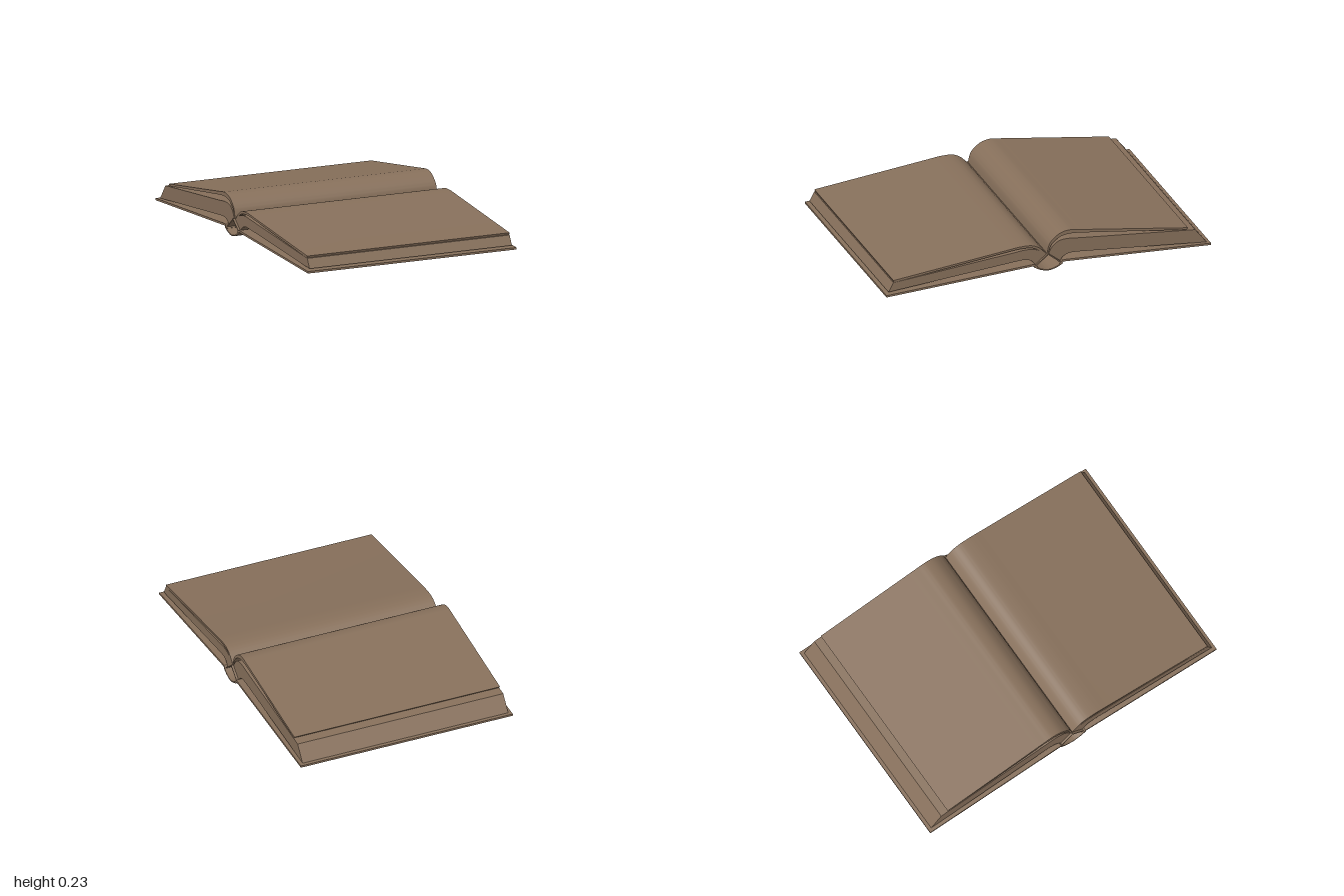
import * as THREE from 'three';
import { toCreasedNormals } from 'three/addons/utils/BufferGeometryUtils.js';

const brown = new THREE.MeshStandardMaterial({ color: 0x87705b, side: THREE.DoubleSide });
brown.name = 'brown';

// Outline in (z, y): a pair is a straight corner, a list of pairs is a smooth curve
function sweep(name, outline, width) {
  const shape = new THREE.Shape();
  const at = ([z, y]) => new THREE.Vector2(-z, y);
  outline.forEach((item, i) => {
    const curved = Array.isArray(item[0]);
    const start = at(curved ? item[0] : item);
    if (i === 0) shape.moveTo(start.x, start.y);
    else shape.lineTo(start.x, start.y);
    if (curved) shape.splineThru(item.slice(1).map(at));
  });
  const geo = new THREE.ExtrudeGeometry(shape, { depth: width, bevelEnabled: false, steps: 1, curveSegments: 6 });
  geo.translate(0, 0, -width / 2);
  geo.rotateY(Math.PI / 2);
  const mesh = new THREE.Mesh(toCreasedNormals(geo, 0.6), brown);
  mesh.name = name;
  return mesh;
}

export function createModel() {
  const book = new THREE.Group();
  book.name = 'openBook';

  // Cover boards and hinges, mirrored front to back
  for (const [s, side] of [[1, 'front'], [-1, 'back']]) {
    book.add(sweep(side + 'Cover', [
      [s, 0.003], [s, 0.015], [s * 0.1, 0.062], [s * 0.085, 0.06],
      [s * 0.065, 0.04], [s * 0.075, 0.034], [s * 0.092, 0.05],
    ], 1.34));
    // Lining strip from the spine edge up to the gutter
    book.add(sweep(side + 'Lining', [
      [s * 0.085, 0.036], [s * 0.002, 0.102], [s * 0.002, 0.11], [s * 0.085, 0.044],
    ], 1.326));
  }

  // Rounded spine
  book.add(sweep('spine', [
    [[0.088, 0.04], [0.05, 0.02], [0, 0.009], [-0.05, 0.02], [-0.088, 0.04]],
    [[-0.08, 0.046], [-0.047, 0.026], [0, 0.015], [0.047, 0.026], [0.08, 0.046]],
  ], 1.34));

  // Front page block
  book.add(sweep('frontPages', [
    [0.98, 0.025], [0.95, 0.08],
    [[0.2, 0.147], [0.15, 0.152], [0.1, 0.15], [0.05, 0.135], [0.005, 0.103]],
    [0.075, 0.047],
    [[0.078, 0.052], [0.1, 0.077], [0.14, 0.09], [0.2, 0.088]],
  ], 1.3));

  // Front lifted leaf
  book.add(sweep('frontLeaf', [
    [0.945, 0.081], [0.95, 0.094],
    [[0.25, 0.169], [0.17, 0.177], [0.1, 0.174], [0.05, 0.151], [0.005, 0.105]],
    [[0.012, 0.103], [0.055, 0.138], [0.1, 0.159], [0.17, 0.164], [0.25, 0.157]],
  ], 1.3));

  // Back page block
  book.add(sweep('backPages', [
    [-0.98, 0.017], [-0.91, 0.107],
    [[-0.2, 0.175], [-0.125, 0.183], [-0.07, 0.177], [-0.03, 0.148], [-0.005, 0.103]],
    [-0.075, 0.047],
    [[-0.078, 0.052], [-0.1, 0.077], [-0.14, 0.09], [-0.2, 0.088]],
  ], 1.3));

  // Back lifted leaf
  book.add(sweep('backLeaf', [
    [-0.855, 0.116], [-0.865, 0.127],
    [[-0.25, 0.22], [-0.19, 0.229], [-0.13, 0.236], [-0.07, 0.221], [-0.015, 0.172], [0.004, 0.105]],
    [[-0.003, 0.103], [-0.025, 0.162], [-0.075, 0.2], [-0.13, 0.212], [-0.19, 0.209], [-0.25, 0.201]],
  ], 1.3));

  return book;
}
